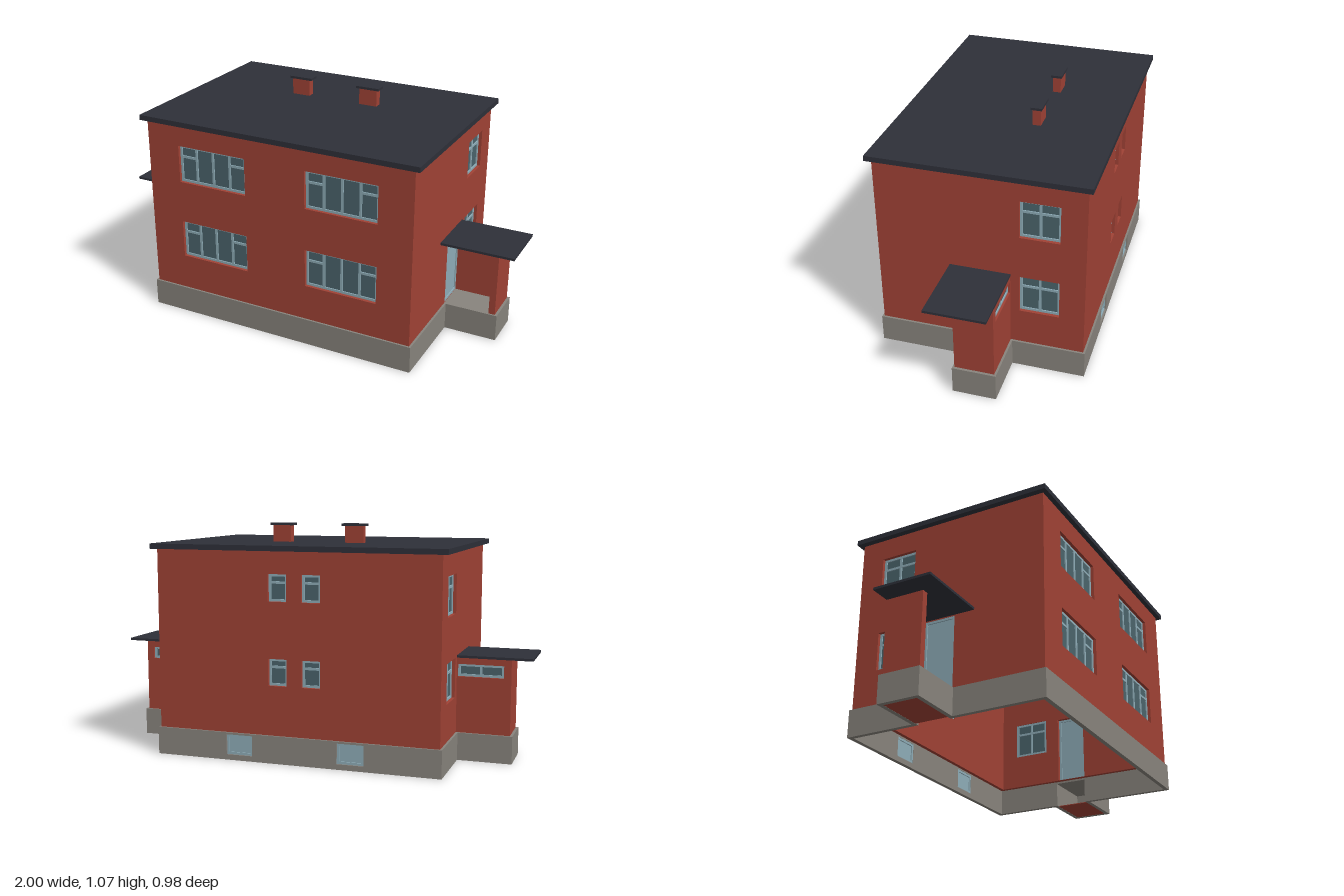
import * as THREE from 'three';

const material = (color) => new THREE.MeshStandardMaterial({ color, side: THREE.DoubleSide });

export function createModel() {
  const model = new THREE.Group();
  const brick = material(0xa04235), stone = material(0x88847d), slate = material(0x2e3039);
  const frameMat = material(0x8fadb8), glassMat = material(0x4b646c);

  // Box given by its limits on each axis
  function block(parent, name, mat, x0, x1, y0, y1, z0, z1) {
    const mesh = new THREE.Mesh(
      new THREE.BoxGeometry(Math.abs(x1 - x0), Math.abs(y1 - y0), Math.abs(z1 - z0)), mat);
    mesh.position.set((x0 + x1) / 2, (y0 + y1) / 2, (z0 + z1) / 2);
    mesh.name = name;
    parent.add(mesh);
    return mesh;
  }

  // Recessed window: panes split by mullions, transom in all, outer or no panes
  function addWindow(parent, x0, x1, y0, y1, { cols = 1, transom = 'all', pane = glassMat, recess = 0.02 }) {
    const g = new THREE.Group();
    g.name = 'window';
    parent.add(g);
    block(g, 'pane', pane, x0, x1, y0, y1, -recess - 0.002, -recess);
    const b = 0.011, zb = -recess - 0.007, zf = -recess + 0.005;
    block(g, 'frameBottom', frameMat, x0, x1, y0, y0 + b, zb, zf);
    block(g, 'frameTop', frameMat, x0, x1, y1 - b, y1, zb, zf);
    block(g, 'frameSide', frameMat, x0, x0 + b, y0, y1, zb, zf);
    block(g, 'frameSide', frameMat, x1 - b, x1, y0, y1, zb, zf);
    const step = (x1 - x0) / cols;
    for (let i = 0; i < cols; i++) {
      const left = x0 + i * step;
      if (i > 0) block(g, 'mullion', frameMat, left - b / 2, left + b / 2, y0, y1, zb, zf);
      const outer = i === 0 || i === cols - 1;
      if (transom === 'all' || (transom === 'outer' && outer)) {
        const yt = y0 + (y1 - y0) * 0.69;
        block(g, 'transom', frameMat, left, left + step, yt - b / 2, yt + b / 2, zb, zf);
      }
    }
  }

  // Wall with openings; a and b run along world x (front, back) or z (right, left)
  const facing = {
    front: { turn: 0, k: 1, n: [0, 1] }, back: { turn: Math.PI, k: -1, n: [0, -1] },
    right: { turn: Math.PI / 2, k: -1, n: [1, 0] }, left: { turn: -Math.PI / 2, k: 1, n: [-1, 0] },
  };
  function wall(name, mat, dir, offset, a, b, y0, y1, thick, windows = []) {
    const { turn, k, n } = facing[dir];
    const span = (p, q) => [Math.min(k * p, k * q), Math.max(k * p, k * q)];
    const rect = (path, l, r, d, u) =>
      path.moveTo(l, d).lineTo(r, d).lineTo(r, u).lineTo(l, u).closePath();
    const g = new THREE.Group();
    g.name = name;
    const shape = new THREE.Shape();
    const [l, r] = span(a, b);
    rect(shape, l, r, y0, y1);
    for (const w of windows) {
      const [wl, wr] = span(w.a, w.b);
      const hole = new THREE.Path();
      rect(hole, wl, wr, w.y0, w.y1);
      shape.holes.push(hole);
      addWindow(g, wl, wr, w.y0, w.y1, w);
    }
    const geo = new THREE.ExtrudeGeometry(shape, { depth: thick, bevelEnabled: false });
    geo.translate(0, 0, -thick);
    const mesh = new THREE.Mesh(geo, mat);
    mesh.name = name + 'Panel';
    g.add(mesh);
    g.rotation.y = turn;
    g.position.set(n[0] * offset, 0, n[1] * offset);
    model.add(g);
  }

  const base = 0.127, top = 0.955, T = 0.03, P = 0.02;

  // Front and back walls with their windows
  const front = [], back = [], cellar = [];
  for (const s of [-1, 1]) {
    for (const [y0, y1] of [[0.295, 0.475], [0.675, 0.852]]) {
      front.push({ a: s * 0.15, b: s * 0.498, y0, y1, cols: 4, transom: 'outer' });
      back.push({ a: s * 0.035, b: s * 0.122, y0: y1 - 0.122, y1 });
    }
    cellar.push({ a: s * 0.2, b: s * 0.325, y0: 0.025, y1: 0.118, transom: 'none', pane: frameMat, recess: 0.012 });
  }
  wall('frontWall', brick, 'front', 0.66, -0.66, 0.66, base, top, T, front);
  wall('backWall', brick, 'back', 0.66, -0.66, 0.66, base, top, T, back);
  model.getObjectByName('frontWall').position.z = 0.468;
  model.getObjectByName('backWall').position.z = -0.468;
  wall('frontPlinth', stone, 'front', 0.477, -0.67, 0.67, 0, base, P);
  wall('backPlinth', stone, 'back', 0.477, -0.67, 0.67, 0, base, P, cellar);

  // Side walls and entrance porches, the same on both sides
  for (const [dir, s] of [['right', 1], ['left', -1]]) {
    const windows = [[0.295, 0.475], [0.675, 0.853]].map(
      ([y0, y1]) => ({ a: -0.177, b: -0.355, y0, y1, cols: 2 }));
    const door = { a: 0.04, b: -0.107, y0: base + 0.001, y1: 0.465, transom: 'none', pane: frameMat, recess: 0.006 };
    wall('sideWall', brick, dir, 0.66, -0.468 + T, 0.468 - T, base, top, T, [...windows, door]);
    wall('sidePlinth', stone, dir, 0.67, 0.05, 0.477 - P, 0, base, P);
    wall('sidePlinth', stone, dir, 0.67, -0.477 + P, -0.147, 0, base, P);

    // Porch plinth, floor and underside
    wall('porchPlinthOuter', stone, dir, 0.917, -0.147, 0.05, 0, base, P);
    wall('porchPlinthFront', stone, 'front', 0.05, s * 0.65, s * 0.897, 0, base, P);
    wall('porchPlinthBack', stone, 'back', 0.147, s * 0.65, s * 0.897, 0, base, P);
    block(model, 'porchFloor', stone, s * 0.65, s * 0.9, base - 0.01, base - 0.0005, -0.13, 0.035);
    block(model, 'porchUnderside', brick, s * 0.67, s * 0.9165, -0.0005 + 0.001, 0.004, -0.1465, 0.0495);

    // Porch walls: solid outer side, glazed back, open front
    wall('porchOuterWall', brick, dir, 0.905, -0.137 + T, 0.042, base, 0.47, T);
    wall('porchBackWall', brick, 'back', 0.137, s * 0.66, s * 0.905, base, 0.47, T,
      [{ a: s * 0.664, b: s * 0.872, y0: 0.385, y1: 0.442, cols: 2, transom: 'none', recess: 0.015 }]);
    block(model, 'porchCanopy', slate, s * 0.66, s, 0.47, 0.481, -0.138, 0.137);

    // Chimney
    block(model, 'chimney', brick, s * 0.132, s * 0.22, 0.97, 1.054, -0.148, -0.11);
    block(model, 'chimneyCap', slate, s * 0.118, s * 0.232, 1.054, 1.065, -0.155, -0.104);
  }

  // Flat roof slab
  block(model, 'roof', slate, -0.687, 0.687, 0.953, 0.977, -0.49, 0.49);
  return model;
}
